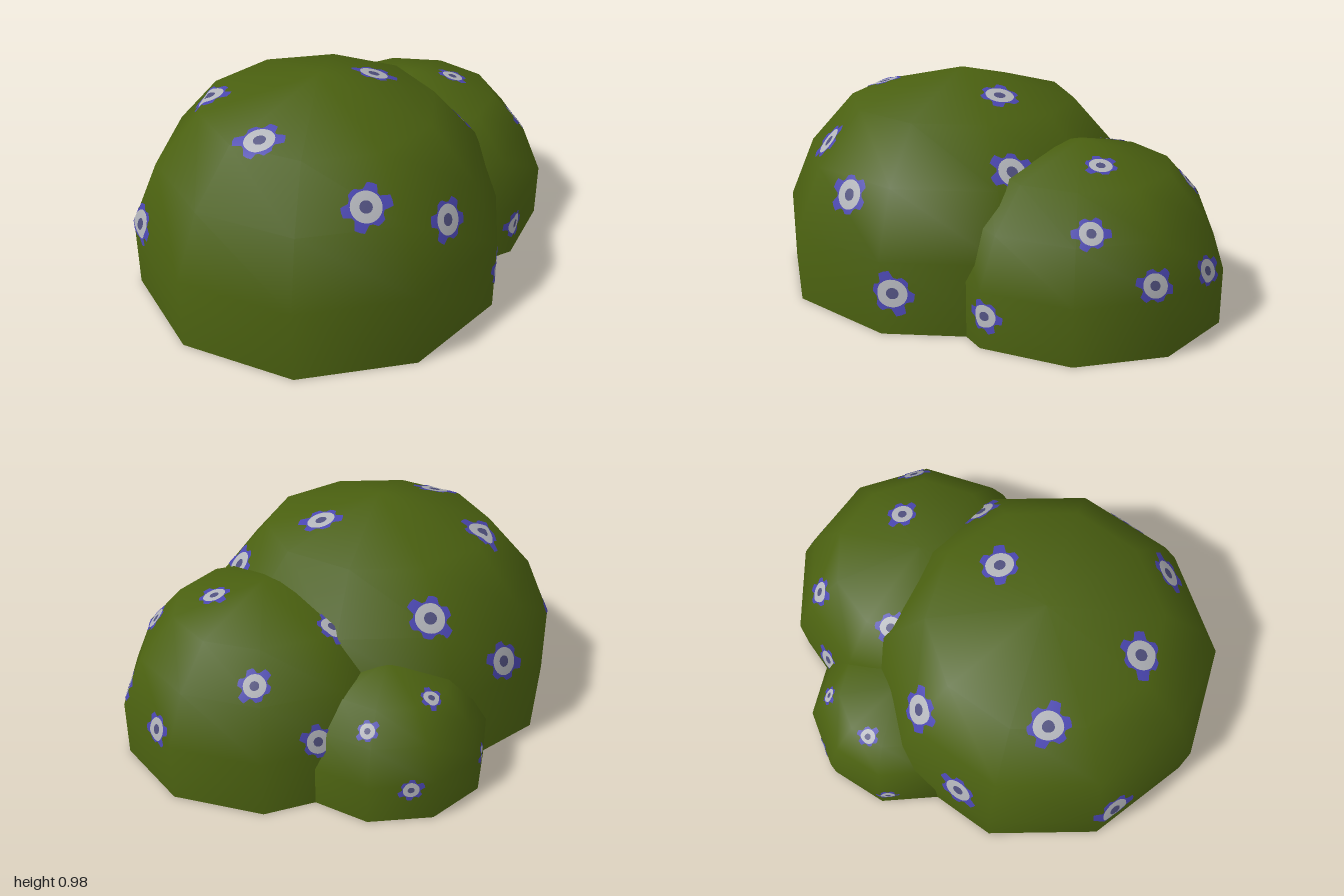
import * as THREE from 'three';
import { mergeVertices } from 'three/addons/utils/BufferGeometryUtils.js';

const paint = (name, color) => {
  const m = new THREE.MeshStandardMaterial({ color, side: THREE.DoubleSide });
  m.name = name;
  return m;
};

// Dome outline for the largest bush, from ground to tip
const PROFILE = [[0.85, 0], [0.85, 0.33], [0.73, 0.61], [0.525, 0.84], [0, 0.98]];

// Each lobe: position, size, turn in degrees, flower radius and flowers [x, y, z]
const LOBES = [
  { name: 'largeLobe', x: -0.15, z: 0.17, size: 1, turn: 91, bloom: 0.1, flowers: [
    [-0.605, 0.82, 0.03], [0.12, 0.9, 0.05], [-0.445, 0.85, 0.5], [-0.07, 0.67, 0.79],
    [0.28, 0.535, 0.735], [0.51, 0.67, 0.08], [-0.96, 0.35, 0.25], [-0.69, 0.42, -0.42],
    [-0.33, 0.66, -0.453], [0.57, 0.19, 0.61]] },
  { name: 'mediumLobe', x: 0.377, z: -0.254, size: 0.77, turn: 0, bloom: 0.077, flowers: [
    [0.085, 0.64, -0.48], [0.4, 0.54, -0.76], [0.588, 0.69, -0.278], [0.87, 0.51, -0.155],
    [0.97, 0.31, -0.39], [0.82, 0.28, -0.68], [0.77, 0.15, 0.25], [0.145, 0.3, -0.82]] },
  { name: 'smallLobe', x: -0.155, z: -0.535, size: 0.525, turn: 94.4, bloom: 0.052, flowers: [
    [-0.315, 0.43, -0.72], [-0.05, 0.38, -0.86], [-0.225, 0.15, -0.945], [-0.535, 0.15, -0.72]] },
];

// Open ten-sided dome with smooth normals
function domeGeometry({ x, z, size, turn }) {
  const pts = PROFILE.map(([r, y]) => new THREE.Vector2(r * size, y * size));
  const lathe = new THREE.LatheGeometry(pts, 10);
  lathe.deleteAttribute('uv');
  lathe.deleteAttribute('normal');
  const geo = mergeVertices(lathe, 1e-4);
  geo.rotateY(THREE.MathUtils.degToRad(turn)).translate(x, 0, z);
  geo.computeVertexNormals();
  return geo;
}

// Thin flower that follows the dome: heart, pale ring and ragged petals
function flowerGeometry(dome, core, target, radius, seed, lift) {
  const STEPS = 30, RINGS = [0, 0.26, 0.45, 0.64];
  const out = target.clone().sub(core);
  const dir = out.clone().normalize();
  const u = new THREE.Vector3(0, 1, 0.01).cross(dir).normalize();
  const v = dir.clone().cross(u);
  const ray = new THREE.Raycaster();
  const pos = [], nor = [], index = [];
  const bands = RINGS.length + 2;
  for (let i = 0; i < bands; i++) {
    for (let k = 0; k < STEPS; k++) {
      const a = (k / STEPS) * Math.PI * 2;
      // Six blunt petals of uneven length
      const petal = Math.floor(k / 5);
      const tip = k % 5 < 3 ? 0.96 + 0.12 * Math.sin(seed * 2.3 + petal * 1.9) : 0.72;
      const r = radius * (i < RINGS.length ? RINGS[i] : i === RINGS.length ? (0.64 + tip) / 2 : tip);
      const aim = out.clone().addScaledVector(u, r * Math.cos(a + seed)).addScaledVector(v, r * Math.sin(a + seed));
      ray.set(core, aim.normalize());
      const hit = ray.intersectObject(dome)[0];
      const n = hit ? hit.normal.clone() : aim.clone();
      if (n.dot(aim) < 0) n.negate();
      const p = hit ? hit.point.clone() : target.clone();
      p.addScaledVector(n, lift);
      pos.push(p.x, Math.max(p.y, 0), p.z);
      nor.push(n.x, n.y, n.z);
    }
  }
  const geo = new THREE.BufferGeometry();
  for (let i = 0; i < bands - 1; i++) {
    const start = index.length;
    for (let k = 0; k < STEPS; k++) {
      const a = i * STEPS + k, b = i * STEPS + (k + 1) % STEPS;
      index.push(a, a + STEPS, b + STEPS, a, b + STEPS, b);
    }
    geo.addGroup(start, index.length - start, i === 0 ? 0 : i < 3 ? 1 : 2);
  }
  geo.setAttribute('position', new THREE.Float32BufferAttribute(pos, 3));
  geo.setAttribute('normal', new THREE.Float32BufferAttribute(nor, 3));
  geo.setIndex(index);
  return geo;
}

export function createModel() {
  const leaf = paint('leafGreen', 0x4a6010);
  const flowerPaint = [paint('flowerHeart', 0x50507e), paint('flowerWhite', 0xb2b4ba), paint('petalBlue', 0x4a46b0)];
  const bush = new THREE.Group();
  bush.name = 'bush';
  LOBES.forEach((lobe, j) => {
    const group = new THREE.Group();
    group.name = lobe.name;
    const dome = new THREE.Mesh(domeGeometry(lobe), leaf);
    dome.name = 'foliage';
    group.add(dome);
    const core = new THREE.Vector3(lobe.x, 0.16 * lobe.size, lobe.z);
    lobe.flowers.forEach((f, i) => {
      // One face outside and one inside the thin shell
      for (const [name, lift] of [['flower', 0.004], ['flowerInside', -0.004]]) {
        const geo = flowerGeometry(dome, core, new THREE.Vector3(...f), lobe.bloom, i * 1.7 + j, lift);
        const mesh = new THREE.Mesh(geo, flowerPaint);
        mesh.name = name;
        group.add(mesh);
      }
    });
    bush.add(group);
  });
  return bush;
}
